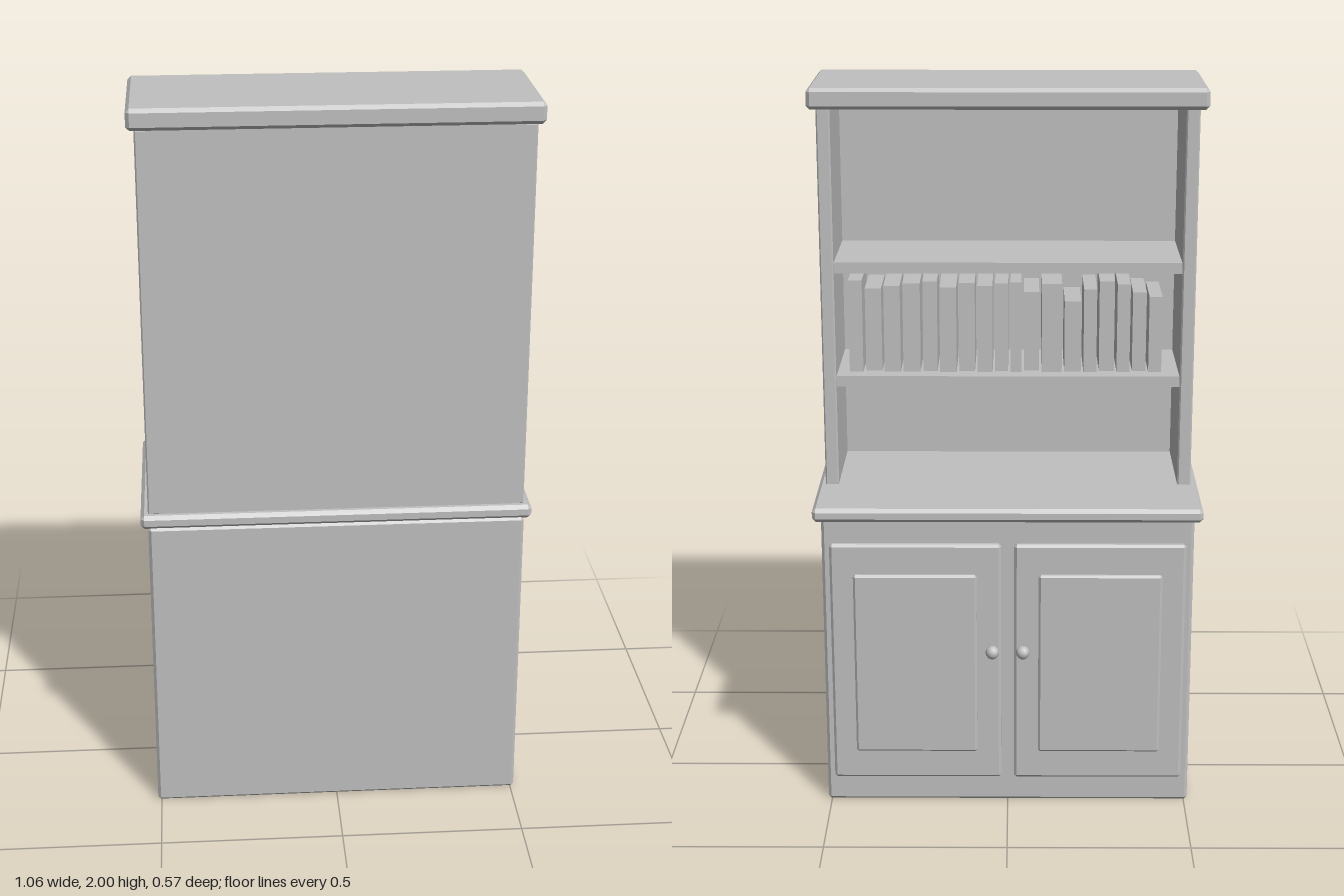
import * as THREE from 'three';
import { ConvexGeometry } from 'three/addons/geometries/ConvexGeometry.js';

const grey = new THREE.MeshStandardMaterial({ color: 0xc0c0c0 });
grey.name = 'plain grey';

// Box given by its limits, with every edge chamfered by c
function chamferBox([x0, x1], [y0, y1], [z0, z1], c) {
  const points = [];
  for (const sx of [0, 1]) for (const sy of [0, 1]) for (const sz of [0, 1]) {
    const corner = [sx ? x1 : x0, sy ? y1 : y0, sz ? z1 : z0];
    const inset = [sx ? -c : c, sy ? -c : c, sz ? -c : c];
    for (let face = 0; face < 3; face++) {
      points.push(new THREE.Vector3(...corner.map((v, i) => (i === face ? v : v + inset[i]))));
    }
  }
  return new ConvexGeometry(points);
}

// Plain box given by its limits
function plainBox([x0, x1], [y0, y1], [z0, z1]) {
  return new THREE.BoxGeometry(x1 - x0, y1 - y0, z1 - z0)
    .translate((x0 + x1) / 2, (y0 + y1) / 2, (z0 + z1) / 2);
}

export function createModel() {
  const group = new THREE.Group();
  group.name = 'bookcaseCupboard';

  function add(name, geometry, parent = group) {
    const mesh = new THREE.Mesh(geometry, grey);
    mesh.name = name;
    parent.add(mesh);
    return mesh;
  }

  // Lower cupboard, worktop and cornice
  add('cupboard', chamferBox([-0.51, 0.51], [0, 0.855], [-0.22, 0.285], 0.008));
  add('worktop', chamferBox([-0.53, 0.53], [0.852, 0.89], [-0.265, 0.287], 0.01));
  add('cornice', chamferBox([-0.53, 0.53], [1.943, 2], [-0.105, 0.276], 0.01));

  // Open upper bookcase
  add('backPanel', plainBox([-0.48, 0.48], [0.889, 1.945], [0.25, 0.266]));
  for (const [y, name] of [[1.2, 'lowerShelf'], [1.52, 'upperShelf']]) {
    add(name, plainBox([-0.48, 0.48], [y - 0.03, y], [-0.035, 0.255]));
  }

  for (const side of [1, -1]) {
    const label = side > 0 ? 'left' : 'right';
    const span = (a, b) => (side > 0 ? [a, b] : [-b, -a]);
    add(label + 'SidePanel', chamferBox(span(0.473, 0.51), [0.887, 1.946], [-0.05, 0.266], 0.004));

    // Door with raised panel and round knob
    const door = new THREE.Group();
    door.name = label + 'Door';
    group.add(door);
    add('doorFrame', chamferBox(span(0.018, 0.488), [0.08, 0.78], [-0.242, -0.218], 0.007), door);
    add('doorPanel', chamferBox(span(0.085, 0.424), [0.165, 0.695], [-0.253, -0.235], 0.006), door);
    const knob = add('knob', new THREE.SphereGeometry(0.019, 10, 8), door);
    knob.position.set(side * 0.042, 0.475, -0.269);
  }

  // Row of books on the lower shelf: [width, height, front setback]
  const books = [
    [0.038, 0.26, 0], [0.045, 0.235, 0.01], [0.045, 0.245, 0], [0.048, 0.25, 0.005],
    [0.04, 0.255, 0.01], [0.046, 0.24, 0], [0.044, 0.25, 0.01], [0.042, 0.245, 0],
    [0.036, 0.25, 0.01], [0.03, 0.255, 0], [0.042, 0.225, 0.015], [0.056, 0.25, 0],
    [0.046, 0.2, 0.005], [0.036, 0.235, 0], [0.042, 0.255, 0.01], [0.036, 0.25, 0],
    [0.038, 0.225, 0.01], [0.036, 0.215, 0],
  ];
  const row = new THREE.Group();
  row.name = 'books';
  group.add(row);
  let x = 0.44;
  for (const [width, height, setback] of books) {
    add('book', plainBox([x - width, x], [1.2, 1.2 + height], [0.01 + setback, 0.19]), row);
    x -= width + 0.007;
  }

  return group;
}
